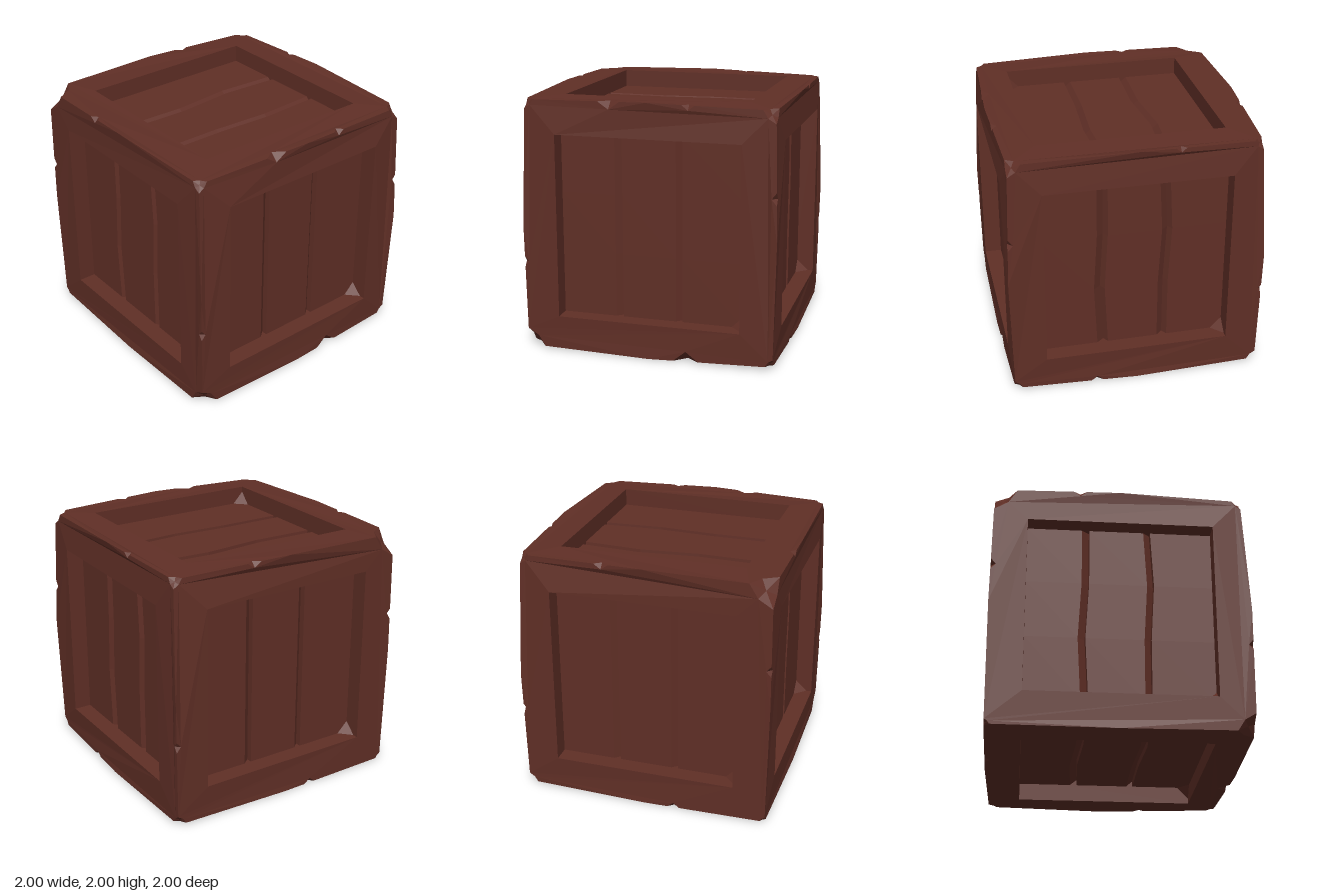
import * as THREE from 'three';

const V = (x, y, z) => new THREE.Vector3(x, y, z);
const RIM = 0.725, FLOOR = 0.855, GROOVE = 0.045;

// Worn corners: position signs, chip size, inset of the corner
const corners = [
  [V(1, 1, 1), 0.07, V(0.045, 0.02, 0.025)],
  [V(-1, 1, 1), 0.18, V(0.01, 0.015, 0.01)],
  [V(1, 1, -1), 0.1, V(0.035, 0.02, 0.03)],
  [V(-1, 1, -1), 0.07, V(0.06, 0.02, 0.03)],
  [V(1, -1, 1), 0.14, V(0.012, 0.015, 0.012)],
  [V(-1, -1, 1), 0.04, V(0.01, 0.01, 0.015)],
  [V(1, -1, -1), 0.06, V(0.02, 0.03, 0.02)],
  [V(-1, -1, -1), 0.07, V(0.015, 0.015, 0.015)],
];

// Edge notches: point on the edge, half width, depth
const notches = [
  [V(-1, 0.32, 1), 0.045, 0.04], [V(1, -0.3, 1), 0.045, 0.035],
  [V(1, 0.34, -1), 0.05, 0.04], [V(-1, -0.32, -1), 0.045, 0.035],
  [V(-0.32, 1, 1), 0.05, 0.04], [V(-0.33, 1, -1), 0.045, 0.035],
  [V(1, 1, 0.3), 0.09, 0.06], [V(1, 1, -0.33), 0.05, 0.04],
  [V(-1, 1, -0.32), 0.06, 0.04], [V(1, -1, -0.31), 0.1, 0.08],
  [V(-1, -1, 0.25), 0.05, 0.04], [V(0.33, -1, -1), 0.05, 0.04],
];

// Faces: name, outward, right and up directions, far wall width of grooves, groove bends
const bent = [[0, 0, -0.025, 0], [0, 0.025, 0, 0]];
const wavy = [[0, -0.03, 0.015, 0], [0, 0.025, 0, 0]];
const straight = [[0, 0, 0, 0], [0, 0, 0, 0]];
const faces = [
  ['front', V(0, 0, 1), V(1, 0, 0), V(0, 1, 0), 0.004, bent],
  ['right', V(1, 0, 0), V(0, 0, -1), V(0, 1, 0), 0.004, straight],
  ['back', V(0, 0, -1), V(-1, 0, 0), V(0, 1, 0), 0.03, bent],
  ['left', V(-1, 0, 0), V(0, 0, 1), V(0, 1, 0), 0.004, straight],
  ['top', V(0, 1, 0), V(1, 0, 0), V(0, 0, -1), 0.004, wavy],
  ['bottom', V(0, -1, 0), V(1, 0, 0), V(0, 0, 1), 0.004, bent],
];

// Pulls the outer edges in towards each corner
function wear(p) {
  const [c, , inset] = corners.find(([k]) => k.x * p.x >= 0 && k.y * p.y >= 0 && k.z * p.z >= 0);
  return p.clone().addScaledVector(c.clone().multiply(inset), -Math.abs(p.x * p.y * p.z));
}

// Collects flat triangles, each turned to face the given direction
class Facets {
  constructor() { this.points = []; }
  tri(a, b, c, out) {
    const n = b.clone().sub(a).cross(c.clone().sub(a));
    this.points.push(...(n.dot(out) < 0 ? [a, c, b] : [a, b, c]));
  }
  quad(a, b, c, d, out) {
    this.tri(a, b, c, out);
    this.tri(a, c, d, out);
  }
  mesh(name, material) {
    const g = new THREE.BufferGeometry().setFromPoints(this.points);
    g.computeVertexNormals();
    const m = new THREE.Mesh(g, material);
    m.name = name;
    return m;
  }
}

// Outline of one face, following its chips and notches
function outline(n, u, v) {
  const pts = [];
  for (let k = 0; k < 4; k++) {
    const e = [v.clone().negate(), u, v, u.clone().negate()][k];
    const dir = n.clone().cross(e);
    const edge = n.clone().add(e);
    const start = edge.clone().sub(dir), end = edge.clone().add(dir);
    const size = (c) => corners.find(([p]) => p.distanceTo(c) < 0.01)[1];
    const s = size(start), s2 = size(end);
    const list = [start.clone().addScaledVector(dir, s), edge.clone(), end.clone().addScaledVector(dir, -s2)];
    for (const [p, w, d] of notches) {
      if (p.dot(n) < 0.99 || p.dot(e) < 0.99) continue;
      list.push(p.clone().addScaledVector(dir, -w), p.clone().addScaledVector(e, -d), p.clone().addScaledVector(dir, w));
    }
    list.sort((a, b) => a.dot(dir) - b.dot(dir));
    pts.push(start.clone().addScaledVector(dir, 0.62 * s).addScaledVector(e, -0.62 * s), ...list);
  }
  return pts;
}

// Frame ring with recess walls
function buildFrame(n, u, v, material) {
  const f = new Facets();
  const at = (a, b, h) => n.clone().multiplyScalar(h).addScaledVector(u, a).addScaledVector(v, b);
  const flat = (p) => new THREE.Vector2(p.dot(u), p.dot(v));
  const outer = outline(n, u, v);
  const square = [[-1, -1], [-1, 1], [1, 1], [1, -1]];
  const inner = square.map(([a, b]) => at(a * RIM, b * RIM, 0.995));
  const all = [...outer.map(wear), ...inner];
  for (const [a, b, c] of THREE.ShapeUtils.triangulateShape(outer.map(flat), [inner.map(flat)])) {
    f.tri(all[a], all[b], all[c], n);
  }
  const low = square.map(([a, b]) => at(a * RIM, b * RIM, FLOOR - GROOVE));
  for (let i = 0; i < 4; i++) {
    const j = (i + 1) % 4;
    const inward = inner[i].clone().add(inner[j]).multiplyScalar(-1).addScaledVector(n, 1.99);
    f.quad(inner[i], inner[j], low[j], low[i], inward);
  }
  // Splinter left in the lower right corner of the recess
  const a = at(RIM - 0.09, -RIM, FLOOR), b = at(RIM, -RIM + 0.09, FLOOR), c = at(RIM, -RIM, 0.95);
  f.tri(a, b, c, n.clone().sub(u).add(v));
  return f.mesh('frame', material);
}

// Three boards divided by two sloping grooves
function buildPlanks(n, u, v, wall, bends, material) {
  const f = new Facets();
  const rows = [RIM, 0.25, -0.22, -RIM].map((b, i) => {
    const g1 = -0.24 + bends[0][i], g2 = 0.24 + bends[1][i];
    const section = [[-RIM, 0], [g1 - 0.055, 0], [g1, GROOVE], [g1 + wall, 0],
      [g2 - 0.05, 0], [g2, GROOVE], [g2 + wall, 0], [RIM, 0]];
    return section.map(([a, d]) =>
      n.clone().multiplyScalar(FLOOR - d).addScaledVector(u, a).addScaledVector(v, b));
  });
  for (let i = 0; i < 3; i++) {
    for (let j = 0; j < 7; j++) f.quad(rows[i][j], rows[i][j + 1], rows[i + 1][j + 1], rows[i + 1][j], n);
  }
  return f.mesh('planks', material);
}

// Broken surfaces of the corner chips and edge notches
function buildChips(material) {
  const f = new Facets();
  const cut = (c, s, x, y, z) => wear(c.clone().multiply(V(1 - x * s, 1 - y * s, 1 - z * s)));
  const k = 0.62;
  for (const [c, s] of corners) {
    const ring = [[1, 0, 0], [k, k, 0], [0, 1, 0], [0, k, k], [0, 0, 1], [k, 0, k]].map((o) => cut(c, s, ...o));
    const mid = cut(c, s, 0.4, 0.4, 0.4);
    ring.forEach((p, i) => f.tri(p, ring[(i + 1) % 6], mid, c));
  }
  for (const [p, w, d] of notches) {
    const units = ['x', 'y', 'z'];
    const along = units.find((a) => Math.abs(p[a]) < 0.99);
    const [pa, pb] = units.filter((a) => a !== along).map((a) => {
      const q = p.clone();
      q[a] -= Math.sign(p[a]) * d;
      return wear(q);
    });
    const out = p.clone();
    out[along] = 0;
    for (const side of [-w, w]) {
      const q = p.clone();
      q[along] += side;
      f.tri(wear(q), pa, pb, out);
    }
  }
  return f.mesh('wornEdges', material);
}

export function createModel() {
  const wood = new THREE.MeshStandardMaterial({ color: 0x602f26 });
  wood.name = 'dark red wood';
  const crate = new THREE.Group();
  crate.name = 'crate';
  for (const [name, n, u, v, wall, bends] of faces) {
    const side = new THREE.Group();
    side.name = name + 'Side';
    side.add(buildFrame(n, u, v, wood), buildPlanks(n, u, v, wall, bends, wood));
    crate.add(side);
  }
  crate.add(buildChips(wood));
  crate.position.y = 1;
  const model = new THREE.Group();
  model.name = 'woodenCrate';
  model.add(crate);
  return model;
}
